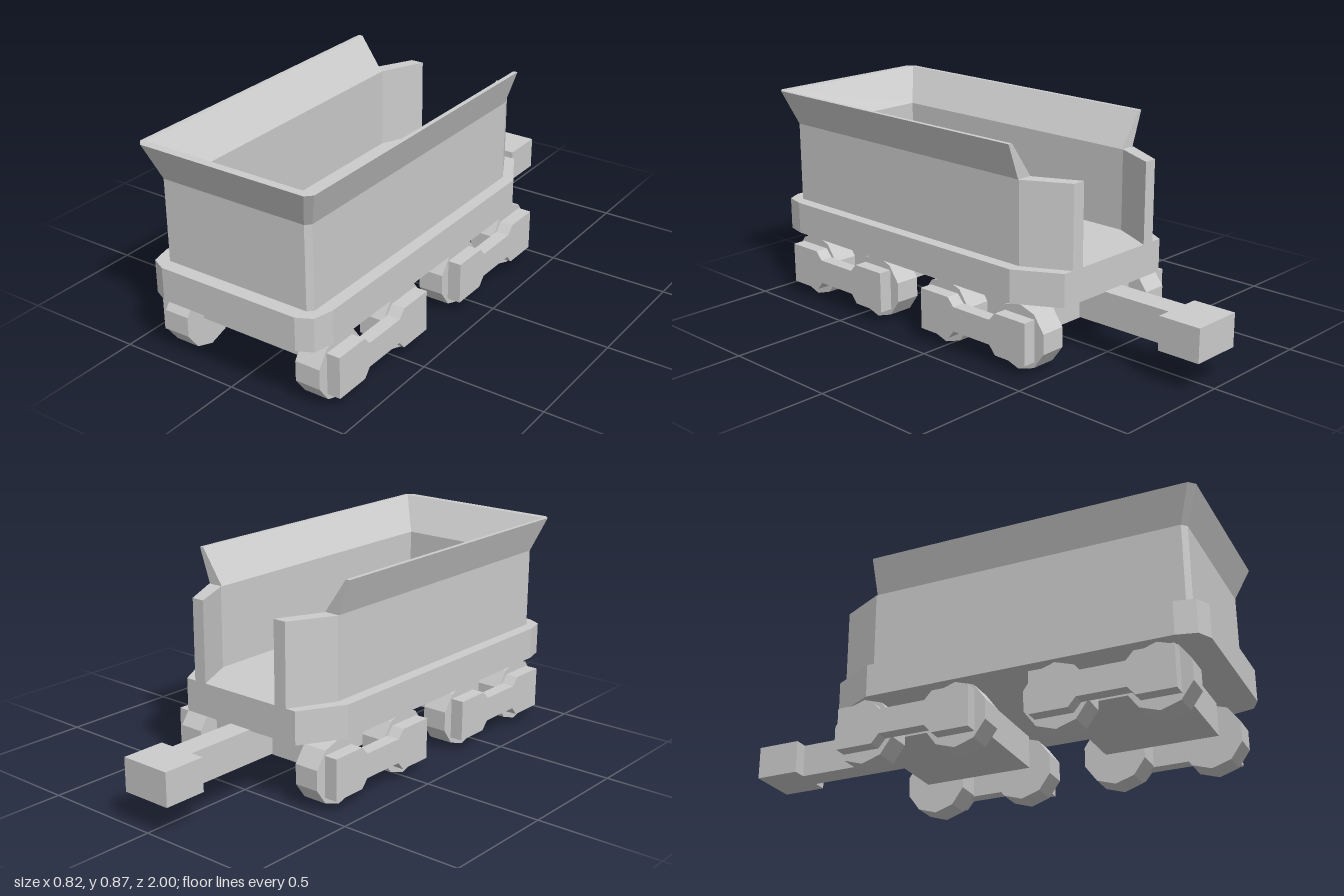
import * as THREE from 'three';

const material = new THREE.MeshStandardMaterial({ color: 0xcccccc, flatShading: true });

function add(parent, name, geometry, x = 0, y = 0, z = 0) {
  const mesh = new THREE.Mesh(geometry, material);
  mesh.name = name;
  mesh.position.set(x, y, z);
  parent.add(mesh);
  return mesh;
}

// Box given by its half width and its y and z ranges
function beam(parent, name, halfWidth, y0, y1, z0, z1) {
  add(parent, name, new THREE.BoxGeometry(halfWidth * 2, y1 - y0, z1 - z0), 0, (y0 + y1) / 2, (z0 + z1) / 2);
}

const shapeOf = (points) => new THREE.Shape(points.map(([a, b]) => new THREE.Vector2(a, b)));
const mirrored = (points) => points.map(([x, z]) => [-x, z]).reverse();

// Plan outline of [x, z] points raised from y0 to y1
function plate(points, y0, y1) {
  const shape = shapeOf(points.map(([x, z]) => [x, -z]));
  const geometry = new THREE.ExtrudeGeometry(shape, { depth: y1 - y0, bevelEnabled: false });
  return geometry.rotateX(-Math.PI / 2).translate(0, y0, 0);
}

// Solid strip between successive four-point sections, closed at both ends
function strip(sections) {
  const positions = [];
  const tri = (a, b, c) => positions.push(...a, ...b, ...c);
  for (let i = 0; i < sections.length - 1; i++) {
    for (let j = 0; j < 4; j++) {
      const k = (j + 1) % 4;
      const [s, t] = [sections[i], sections[i + 1]];
      tri(s[j], s[k], t[k]);
      tri(s[j], t[k], t[j]);
    }
  }
  const [s, e] = [sections[0], sections[sections.length - 1]];
  tri(s[0], s[2], s[1]);
  tri(s[0], s[3], s[2]);
  tri(e[0], e[1], e[2]);
  tri(e[0], e[2], e[3]);
  const geometry = new THREE.BufferGeometry();
  geometry.setAttribute('position', new THREE.Float32BufferAttribute(positions, 3));
  geometry.computeVertexNormals();
  return geometry;
}

// Two axles, side frames and the block joining them
function makeBogie(z) {
  const bogie = new THREE.Group();
  bogie.name = 'bogie';
  bogie.position.z = z;

  beam(bogie, 'bogieBlock', 0.25, 0.127, 0.262, -0.23, 0.23);

  const wheel = new THREE.CylinderGeometry(0.131, 0.131, 0.105, 10).rotateZ(Math.PI / 2);
  // Turn so a corner points straight down
  wheel.rotateX(Math.PI / 2);
  const frame = new THREE.ExtrudeGeometry(shapeOf([
    [-0.275, 0.05], [-0.125, 0.05], [-0.095, 0.085], [0.095, 0.085], [0.125, 0.05], [0.275, 0.05],
    [0.275, 0.218], [0.125, 0.218], [0.095, 0.185], [-0.095, 0.185], [-0.125, 0.218], [-0.275, 0.218],
  ]), { depth: 0.055, bevelEnabled: false }).rotateY(Math.PI / 2);

  for (const side of [1, -1]) {
    for (const end of [1, -1]) add(bogie, 'wheel', wheel, side * 0.3025, 0.131, end * 0.194);
    add(bogie, 'sideFrame', frame, side > 0 ? 0.355 : -0.41, 0, 0);
  }
  return bogie;
}

export function createModel() {
  const model = new THREE.Group();
  model.name = 'tender';

  // Chassis slab with rounded front and tapered back
  const deck = [[0.28, -0.52], [0.38, -0.34], [0.38, 0.89], [0.36, 0.97], [0.3, 1]];
  add(model, 'chassis', plate([...deck, ...mirrored(deck)], 0.262, 0.395));

  // Upright walls, open at the back
  const outer = [[0.235, -0.52], [0.33, -0.34], [0.33, 0.925], [0.31, 0.945]];
  const inner = [[0.18, -0.52], [0.265, -0.34], [0.265, 0.87]];
  add(model, 'walls', plate([...outer, ...mirrored(outer), ...mirrored(inner).reverse(), ...inner.slice().reverse()], 0.395, 0.725));

  // Flared upper rim, stopping short of the back
  const half = [
    [[0.33, -0.335], [0.38, -0.335], [0.362, -0.335], [0.265, -0.335]],
    [[0.33, 0.925], [0.38, 0.975], [0.362, 0.967], [0.265, 0.87]],
    [[0.31, 0.945], [0.355, 1], [0.352, 0.967], [0.262, 0.87]],
  ];
  const heights = [0.725, 0.865, 0.865, 0.725];
  const section = (sign) => (points) => points.map(([x, z], i) => [sign * x, heights[i], z]);
  add(model, 'flaredRim', strip([...half.map(section(1)), ...half.slice().reverse().map(section(-1))]));

  model.add(makeBogie(0.622), makeBogie(-0.167));

  // Rear coupling
  beam(model, 'couplingBar', 0.05, 0.13, 0.265, -0.82, -0.38);
  beam(model, 'couplingHead', 0.107, 0.13, 0.265, -1, -0.82);

  return model;
}
